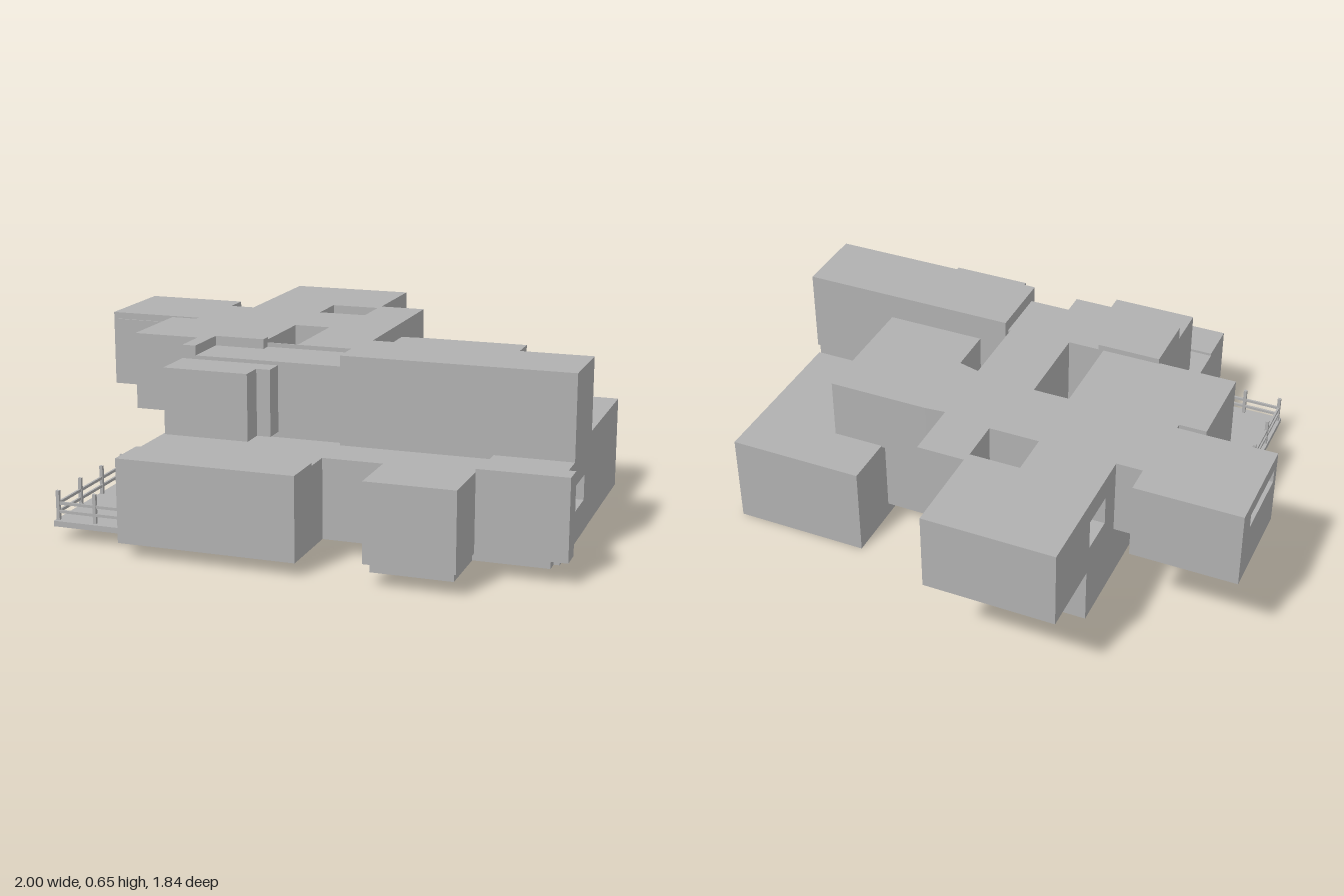
import * as THREE from 'three';

const concrete = new THREE.MeshStandardMaterial({ color: 0xb0b0b0, side: THREE.DoubleSide });
concrete.name = 'grey concrete';

export function createModel() {
  const model = new THREE.Group();
  model.name = 'house';

  function add(name, geometry) {
    const mesh = new THREE.Mesh(geometry, concrete);
    mesh.name = name;
    model.add(mesh);
    return mesh;
  }
  // Box given by its limits on each axis
  function block(name, x0, x1, y0, y1, z0, z1) {
    const g = new THREE.BoxGeometry(x1 - x0, y1 - y0, z1 - z0);
    return add(name, g.translate((x0 + x1) / 2, (y0 + y1) / 2, (z0 + z1) / 2));
  }
  const outline = (pts) => pts.map(([x, z]) => new THREE.Vector2(x, -z));
  const rect = (a0, a1, b0, b1) => [[a0, b0], [a1, b0], [a1, b1], [a0, b1]];

  // Storey raised from a floor plan of [x, z] corners, with optional shafts
  function storey(name, y0, y1, plan, shafts = []) {
    const shape = new THREE.Shape(outline(plan));
    shafts.forEach((s) => shape.holes.push(new THREE.Path(outline(s))));
    const g = new THREE.ExtrudeGeometry(shape, { depth: y1 - y0, bevelEnabled: false });
    return add(name, g.rotateX(-Math.PI / 2).translate(0, y0, 0));
  }
  // Wall with one window opening; alongZ walls run along z, the others along x
  function windowWall(name, alongZ, at, t, [u0, u1, y0, y1], [a0, a1, b0, b1]) {
    const vec = (p) => p.map(([u, v]) => new THREE.Vector2(u, v));
    const shape = new THREE.Shape(vec(rect(u0, u1, y0, y1)));
    shape.holes.push(new THREE.Path(vec(rect(a0, a1, b0, b1))));
    const g = new THREE.ExtrudeGeometry(shape, { depth: t, bevelEnabled: false });
    if (alongZ) g.rotateY(-Math.PI / 2).translate(at + t, 0, 0);
    else g.translate(0, 0, at);
    return add(name, g);
  }

  // Lower storey with a courtyard shaft
  storey('lowerStorey', 0.05, 0.335, [
    [-0.49, 0.74], [0.145, 0.74], [0.145, 0.635], [0.88, 0.635], [0.88, 0.2],
    [0.45, 0.2], [0.45, -0.22], [-0.49, -0.22],
  ], [rect(0.15, 0.245, 0, 0.19)]);
  block('frontRoom', -0.49, 0.145, 0.05, 0.345, 0.74, 0.9);
  block('lowerBackRoom', -0.49, -0.1, 0.05, 0.285, -0.57, -0.22);
  windowWall('lowerBackWall', false, -0.28, 0.06, [-0.1, 0.45, 0.05, 0.335], [-0.05, 0.08, 0.16, 0.26]);
  windowWall('lowerSideWall', true, 0.88, 0.08, [0.2, 0.635, 0.05, 0.335], [0.27, 0.41, 0.165, 0.255]);
  block('garage', 0.425, 0.93, 0, 0.34, -0.5, 0.14);

  // Slatted vent beside the side window
  for (let i = 0; i < 3; i++) {
    const y = 0.1 + i * 0.05;
    block('ventSlat', 0.96, 0.965, y, y + 0.007, 0.455, 0.52);
    block('ventBar', 0.96, 0.965, y, y + 0.035, 0.455 + (i % 2) * 0.03, 0.462 + (i % 2) * 0.03);
  }

  // Projecting entrance rooms on a low plinth
  block('entrancePlinth', 0.4, 0.94, 0.05, 0.08, 0.6, 0.68);
  block('porchPlinth', 0.4, 0.68, 0.05, 0.08, 0.65, 0.9);
  block('porchRoom', 0.38, 0.69, 0.08, 0.355, 0.63, 0.915);
  block('cornerRoom', 0.69, 1, 0.08, 0.365, 0.615, 0.695);
  block('cornerRoof', 0.69, 0.965, 0.335, 0.35, 0.465, 0.63);

  // Upper storey: cross-shaped plan with two roof wells
  storey('upperStorey', 0.36, 0.62, [
    [-0.44, -0.92], [-0.045, -0.92], [-0.045, -0.585], [0.13, -0.585], [0.13, 0.215],
    [-0.74, 0.215], [-0.74, -0.11], [-0.64, -0.11], [-0.64, -0.13], [-0.93, -0.13],
    [-0.93, -0.5], [-0.615, -0.5], [-0.615, -0.4], [-0.44, -0.4],
  ], [rect(-0.235, -0.05, -0.55, -0.39), rect(-0.235, -0.1, -0.12, 0.21)]);
  storey('upperFloor', 0.335, 0.36, [
    [-0.52, -0.92], [-0.045, -0.92], [-0.045, -0.585], [0.13, -0.585], [0.13, 0.215],
    [-0.74, 0.215], [-0.74, -0.11], [-0.64, -0.11], [-0.64, -0.13], [-1, -0.13],
    [-1, -0.5], [-0.615, -0.5], [-0.615, -0.4], [-0.52, -0.4],
  ]);
  windowWall('backRoomWall', true, -0.52, 0.08, [-0.92, -0.4, 0.36, 0.62], [-0.63, -0.49, 0.43, 0.54]);
  windowWall('sideWingWall', true, -1, 0.07, [-0.5, -0.13, 0.36, 0.62], [-0.42, -0.16, 0.52, 0.57]);
  block('sideWingTrim', -0.98, -0.74, 0.575, 0.595, -0.13, -0.124);

  // Upper rooms over the front
  block('frontGallery', -0.45, 0.15, 0.335, 0.605, 0.215, 0.435);
  storey('roofParapet', 0.605, 0.64, [
    [-0.45, 0.21], [-0.215, 0.21], [-0.215, 0.255], [-0.4, 0.255], [-0.4, 0.435], [-0.45, 0.435],
  ]);
  storey('bayRoom', 0.355, 0.592, [
    [-0.45, 0.435], [-0.09, 0.435], [-0.09, 0.51], [-0.14, 0.51], [-0.14, 0.595], [-0.45, 0.595],
  ]);
  block('upperFrontWing', 0.148, 0.965, 0.335, 0.65, 0.192, 0.465);

  // Upper room over the courtyard, with a chamfered corner
  storey('courtyardRoom', 0.335, 0.565, [
    [0.13, -0.295], [0.24, -0.305], [0.615, -0.305], [0.615, 0.175],
    [0.245, 0.175], [0.245, 0], [0.13, -0.03],
  ]);
  block('courtyardLink', 0.42, 0.535, 0.335, 0.36, 0.17, 0.192);

  // Balcony with railings on three sides
  block('balconyDeck', -0.78, -0.49, 0.05, 0.07, 0.28, 0.81);
  const post = (x, z) => block('railPost', x - 0.006, x + 0.006, 0.07, 0.175, z - 0.006, z + 0.006);
  for (const z of [0.3, 0.79]) for (const x of [-0.77, -0.63, -0.505]) post(x, z);
  for (const z of [0.463, 0.627]) post(-0.77, z);
  for (const y of [0.1, 0.13]) {
    block('sideRail', -0.774, -0.766, y - 0.005, y + 0.005, 0.3, 0.79);
    for (const z of [0.3, 0.79]) block('endRail', -0.77, -0.5, y - 0.005, y + 0.005, z - 0.004, z + 0.004);
  }

  return model;
}
